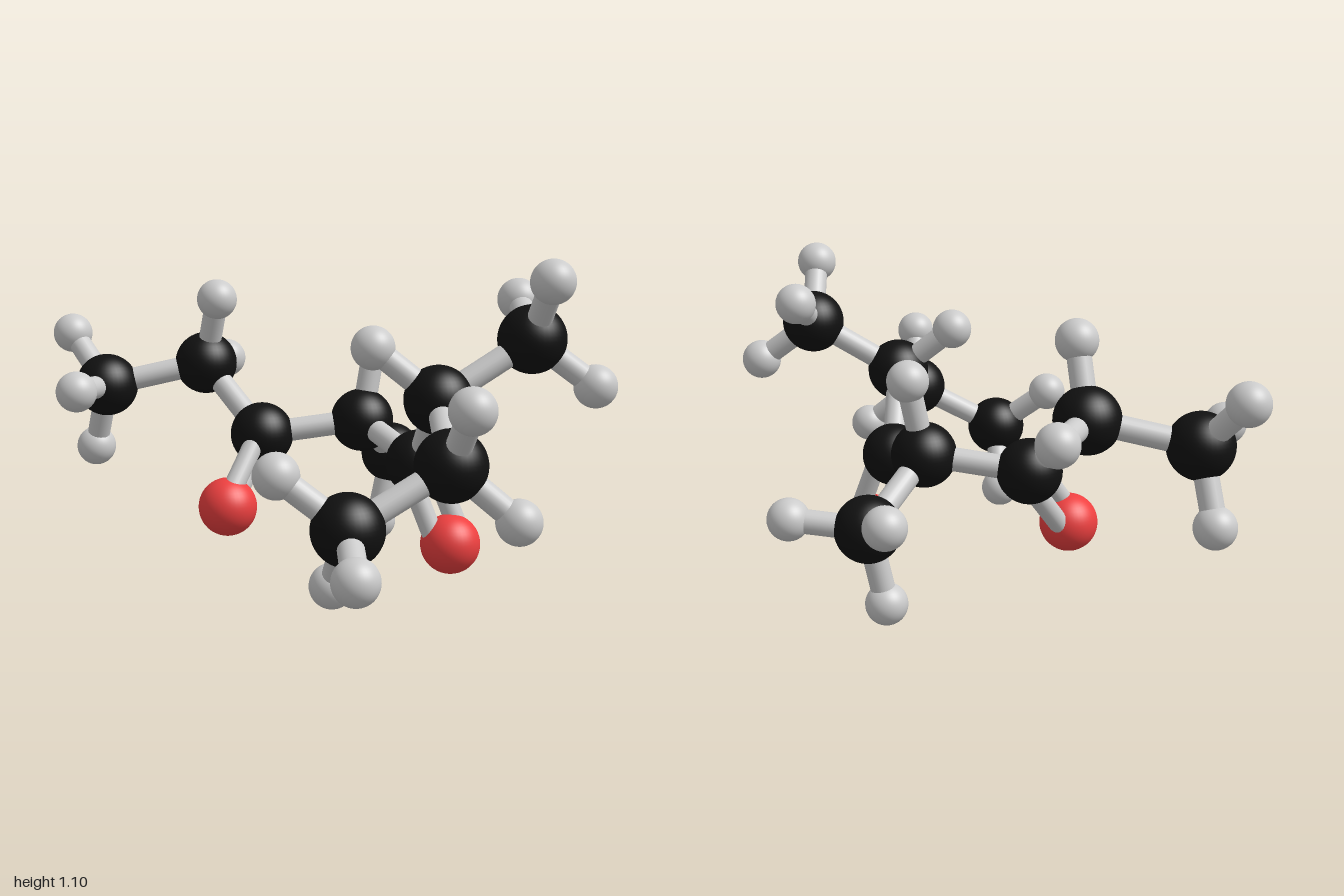
import * as THREE from 'three';

// Atom positions
const carbons = [
  [-0.743, 0.61, 0.305], [-0.507, 0.685, 0.04], [-0.24, 0.455, 0.027], [0.003, 0.5, -0.228],
  [-0.102, 0.33, -0.52], [0.334, 0.405, -0.13], [0.535, 0.655, 0.03], [0.71, 0.838, -0.222],
  [0.767, 0.512, 0.27], [0.602, 0.342, 0.538],
];
const oxygens = [[-0.215, 0.23, 0.222], [0.436, 0.136, -0.175]];

// Hydrogens listed by the index of the carbon that carries them
const hydrogens = {
  0: [[-0.933, 0.783, 0.303], [-0.842, 0.373, 0.28], [-0.627, 0.62, 0.535]],
  1: [[-0.414, 0.92, 0.072], [-0.634, 0.672, -0.187]],
  3: [[0.01, 0.757, -0.285]],
  4: [[-0.333, 0.417, -0.607], [0.07, 0.355, -0.71], [-0.13, 0.073, -0.473]],
  6: [[0.376, 0.817, 0.16]],
  7: [[0.543, 0.945, -0.388], [0.85, 1.03, -0.117], [0.863, 0.688, -0.357]],
  8: [[0.912, 0.7, 0.368], [0.926, 0.347, 0.149]],
  9: [[0.436, 0.496, 0.661], [0.778, 0.257, 0.707], [0.468, 0.133, 0.455]],
};
const chain = [[0, 1], [1, 2], [2, 3], [3, 4], [3, 5], [5, 6], [6, 7], [6, 8], [8, 9]];

// Double bonds: carbon, oxygen and the two neighbours that set the local plane
const doubles = [
  { c: 2, o: 0, sides: [1, 3] },
  { c: 5, o: 1, sides: [3, 6] },
];

export function createModel() {
  const model = new THREE.Group();
  const vec = (p) => new THREE.Vector3(...p);
  const grey = new THREE.MeshStandardMaterial({ color: 0xcccccc });
  const black = new THREE.MeshStandardMaterial({ color: 0x111111 });
  const red = new THREE.MeshStandardMaterial({ color: 0xee4040 });
  const ball = (r) => new THREE.SphereGeometry(r, 40, 24);
  const carbonBall = ball(0.11), oxygenBall = ball(0.1), hydrogenBall = ball(0.07);

  function addAtom(name, geometry, material, p) {
    const mesh = new THREE.Mesh(geometry, material);
    mesh.name = name;
    mesh.position.copy(vec(p));
    model.add(mesh);
  }

  // Cylinder running between two points
  function addBond(name, a, b, radius) {
    const along = b.clone().sub(a);
    const mesh = new THREE.Mesh(
      new THREE.CylinderGeometry(radius, radius, along.length(), 24, 1, true), grey);
    mesh.name = name;
    mesh.position.copy(a).add(b).multiplyScalar(0.5);
    mesh.quaternion.setFromUnitVectors(new THREE.Vector3(0, 1, 0), along.normalize());
    model.add(mesh);
  }

  // Atoms
  carbons.forEach((p) => addAtom('carbonAtom', carbonBall, black, p));
  oxygens.forEach((p) => addAtom('oxygenAtom', oxygenBall, red, p));

  // Carbon skeleton
  for (const [i, j] of chain) addBond('carbonBond', vec(carbons[i]), vec(carbons[j]), 0.04);

  // Hydrogens with their bonds
  for (const [i, list] of Object.entries(hydrogens)) {
    for (const p of list) {
      addAtom('hydrogenAtom', hydrogenBall, grey, p);
      addBond('hydrogenBond', vec(carbons[i]), vec(p), 0.04);
    }
  }

  // Paired rods to the oxygens, set apart across the local plane
  for (const { c, o, sides } of doubles) {
    const a = vec(carbons[c]), b = vec(oxygens[o]);
    const across = vec(carbons[sides[1]]).sub(vec(carbons[sides[0]]));
    const offset = b.clone().sub(a).cross(across).setLength(0.048);
    for (const s of [-1, 1]) {
      addBond('doubleBond', a.clone().addScaledVector(offset, s), b.clone().addScaledVector(offset, s), 0.035);
    }
  }
  return model;
}
